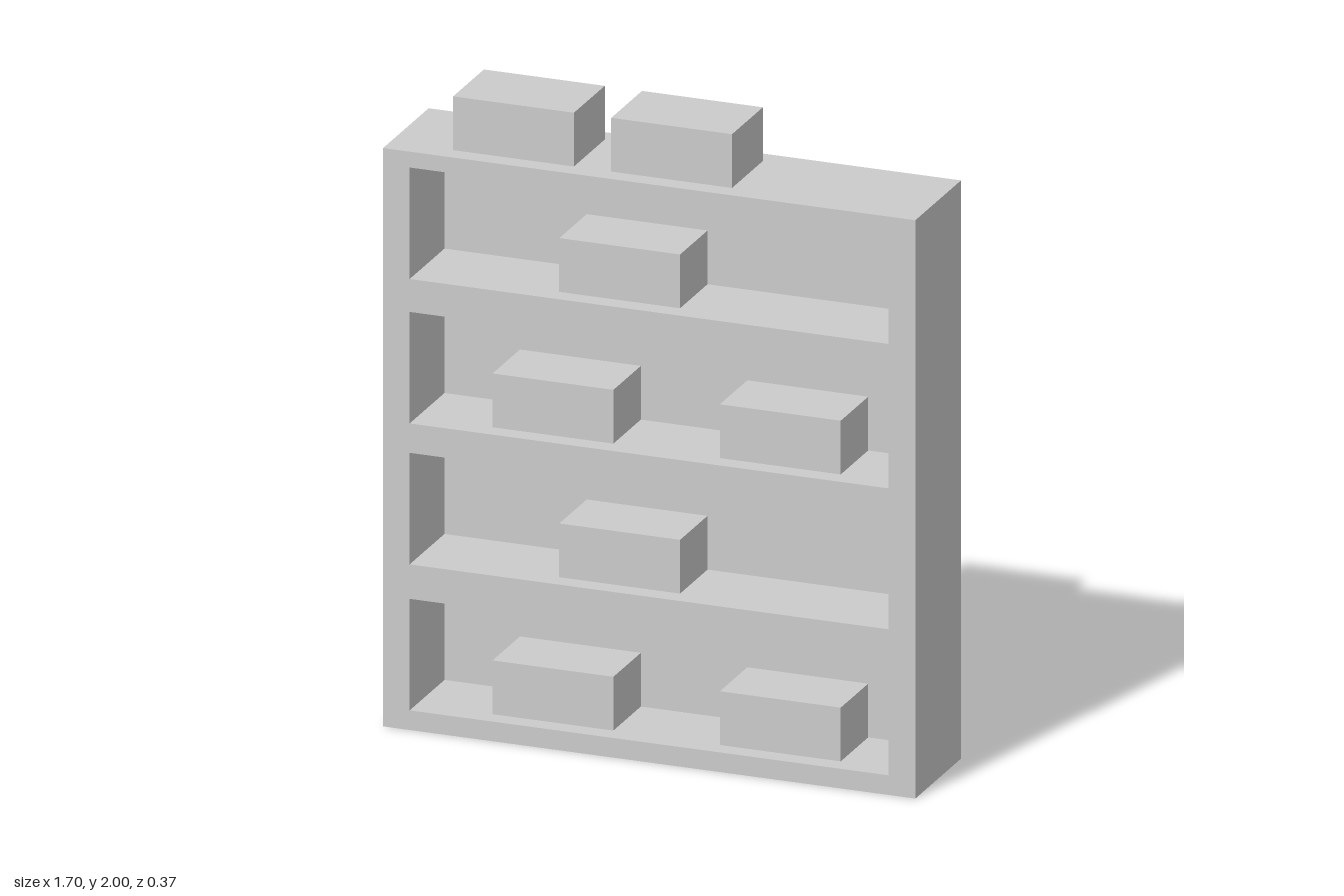
import * as THREE from 'three';

const material = new THREE.MeshStandardMaterial({ color: 0xcccccc, side: THREE.DoubleSide });
const W = 1.7, H = 1.83, D = 0.37;              // cabinet
const NICHE_W = 1.53, NICHE_H = 0.353, NICHE_D = 0.283;
const BOX = [0.386, 0.17, 0.25];                // every stored box

// Box without the listed sides (order: +x, -x, +y, -y, +z, -z), optionally facing inward
function openBox(w, h, d, omit, inward = false) {
  const geometry = new THREE.BoxGeometry(w, h, d);
  const index = Array.from(geometry.index.array).filter((_, i) => !omit.includes(Math.floor(i / 6)));
  geometry.clearGroups();
  geometry.setIndex(inward ? index.reverse() : index);
  geometry.computeVertexNormals();
  return geometry;
}

function addMesh(parent, name, geometry, x, y, z) {
  const mesh = new THREE.Mesh(geometry, material);
  mesh.name = name;
  mesh.position.set(x, y, z);
  parent.add(mesh);
}

function rectangle(PathType, x0, y0, x1, y1) {
  return new PathType([[x0, y0], [x1, y0], [x1, y1], [x0, y1]].map(p => new THREE.Vector2(...p)));
}

export function createModel() {
  const group = new THREE.Group();
  group.name = 'shelfCabinet';

  // Hollow carcass: sides, top and back; the underside is open
  addMesh(group, 'carcass', openBox(W, H, D, [3, 4]), 0, H / 2, 0);

  // Front frame with a window for each shelf
  const frame = rectangle(THREE.Shape, -W / 2, 0, W / 2, H);
  const boxGeometry = new THREE.BoxGeometry(...BOX);
  const nicheGeometry = openBox(NICHE_W, NICHE_H, NICHE_D, [4], true);
  const pair = [-0.331, 0.395], single = [-0.118];

  // Shelf niches set into the frame, with boxes standing on their floors
  [[0.062, pair], [0.524, single], [0.97, pair], [1.427, single]].forEach(([y, xs]) => {
    frame.holes.push(rectangle(THREE.Path, -NICHE_W / 2, y, NICHE_W / 2, y + NICHE_H));
    addMesh(group, 'shelfNiche', nicheGeometry, 0, y + NICHE_H / 2, D / 2 - NICHE_D / 2);
    xs.forEach(x => addMesh(group, 'shelfBox', boxGeometry, x, y + BOX[1] / 2, 0));
  });
  addMesh(group, 'frontFrame', new THREE.ShapeGeometry(frame), 0, 0, D / 2);

  // Boxes on top of the cabinet
  [-0.457, 0.048].forEach(x => addMesh(group, 'topBox', boxGeometry, x, H + BOX[1] / 2, 0));

  return group;
}
